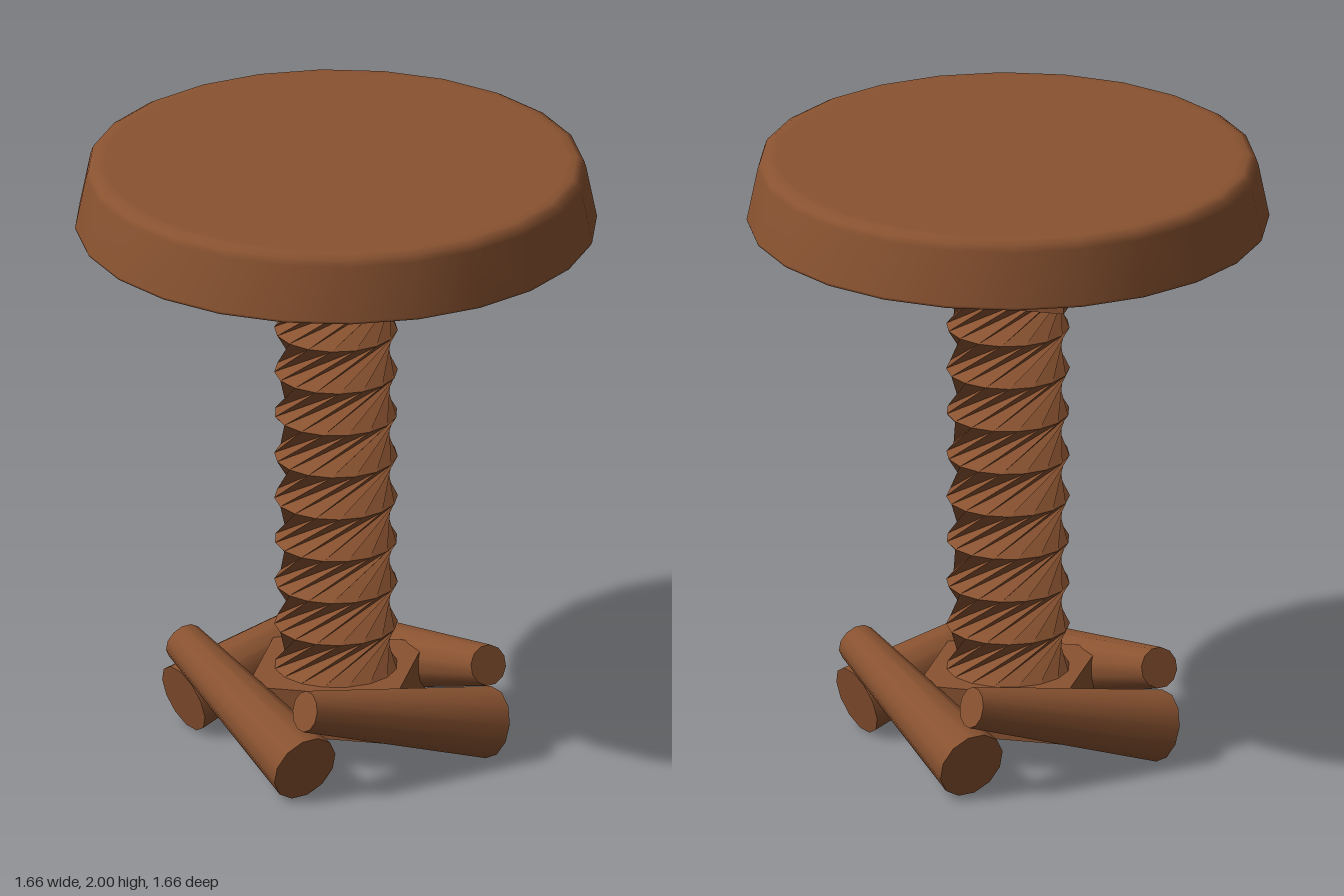
import * as THREE from 'three';

const wood = new THREE.MeshStandardMaterial({ color: 0x8a5331 });
wood.name = 'brown wood';

function add(parent, name, geometry, y = 0) {
  const mesh = new THREE.Mesh(geometry, wood);
  mesh.name = name;
  mesh.position.y = y;
  parent.add(mesh);
  return mesh;
}

// Cylinder whose rings each turn a further step, with faceted sides
function twistedColumn(radius, height, sides, rings, turnPerRing) {
  const geometry = new THREE.CylinderGeometry(radius, radius, height, sides, rings);
  const pos = geometry.attributes.position;
  const v = new THREE.Vector3();
  const up = new THREE.Vector3(0, 1, 0);
  for (let i = 0; i < pos.count; i++) {
    v.fromBufferAttribute(pos, i);
    const ring = Math.round((v.y / height + 0.5) * rings);
    v.applyAxisAngle(up, ring * turnPerRing);
    pos.setXYZ(i, v.x, v.y, v.z);
  }
  const flat = geometry.toNonIndexed();
  flat.computeVertexNormals();
  return flat;
}

export function createModel() {
  const model = new THREE.Group();
  model.name = 'stool';

  // Round seat with flared side and softened rims
  const profile = [
    [0, 1.78], [0.815, 1.78], [0.828, 1.782], [0.832, 1.792],
    [0.797, 1.965], [0.789, 1.988], [0.768, 2], [0.74, 2], [0, 2],
  ].map(([r, y]) => new THREE.Vector2(r, y));
  add(model, 'seat', new THREE.LatheGeometry(profile, 24));

  // Square blocks at both ends of the column
  add(model, 'topBlock', new THREE.BoxGeometry(0.48, 0.16, 0.48), 1.65);
  add(model, 'baseBlock', new THREE.BoxGeometry(0.48, 0.16, 0.48), 0.19);

  // Screw column
  add(model, 'column', twistedColumn(0.197, 1.3, 16, 9, Math.PI / 3), 0.92);

  // Four tapered logs leaning around the base in a pinwheel
  const thin = new THREE.Vector3(-0.495, 0.307, 0);
  const thick = new THREE.Vector3(0, 0.111, 0.495);
  const axis = thin.clone().sub(thick);
  const logGeometry = new THREE.CylinderGeometry(0.066, 0.115, axis.length(), 12);
  for (let i = 0; i < 4; i++) {
    const leg = new THREE.Group();
    leg.name = `leg${i + 1}`;
    const log = add(leg, 'log', logGeometry);
    log.position.copy(thin).add(thick).multiplyScalar(0.5);
    log.quaternion.setFromUnitVectors(new THREE.Vector3(0, 1, 0), axis.clone().normalize());
    leg.rotation.y = i * Math.PI / 2;
    model.add(leg);
  }
  return model;
}
